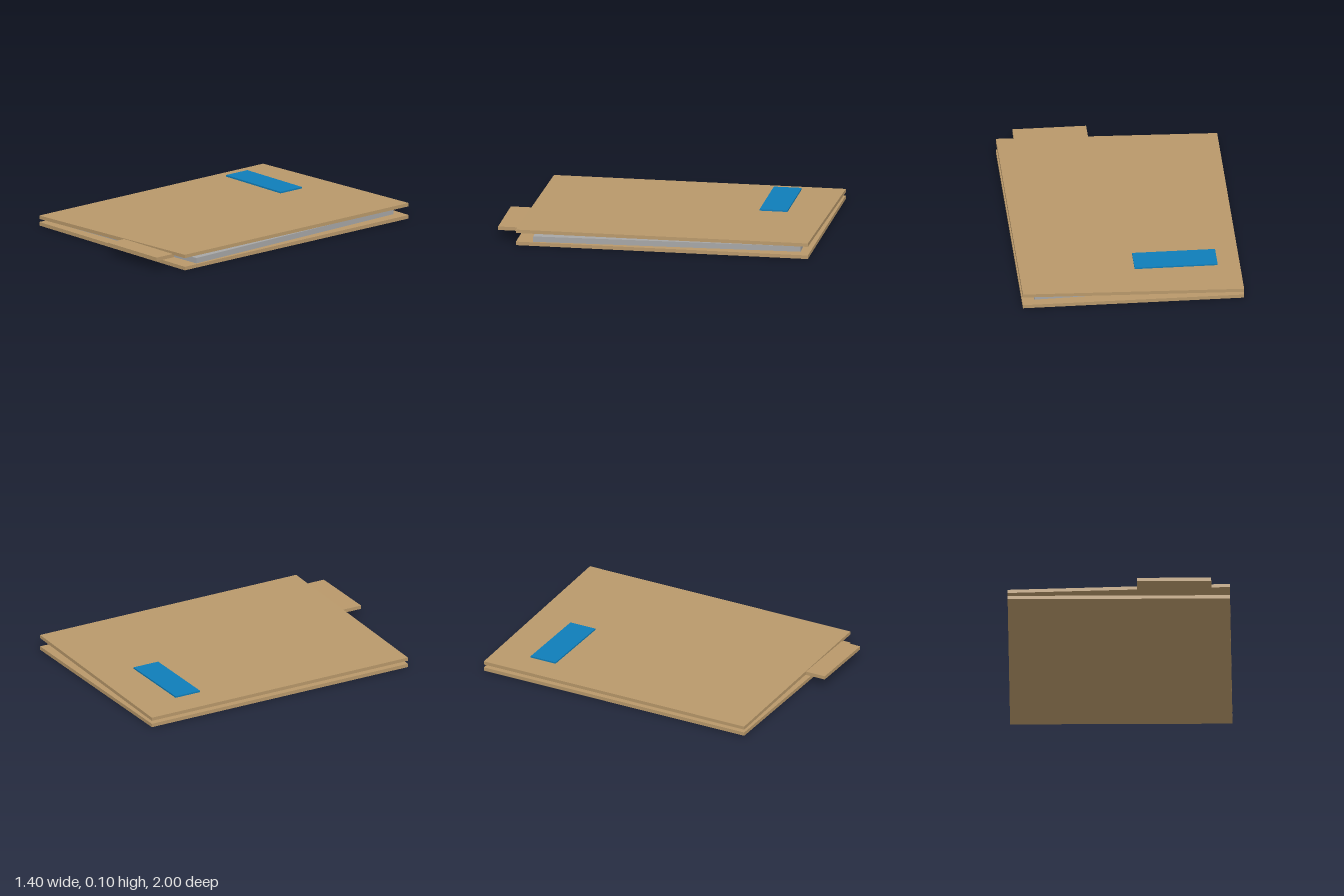
import * as THREE from 'three';

const material = (name, color) => {
  const m = new THREE.MeshStandardMaterial({ color });
  m.name = name;
  return m;
};

export function createModel() {
  const model = new THREE.Group();
  model.name = 'folder';
  const card = material('manila card', 0xb8986a);
  const paper = material('grey paper', 0xa6a6a6);
  const blue = material('blue label', 0x0f7db8);

  // Box given by its size and centre
  const slab = (name, mat, size, centre) => {
    const mesh = new THREE.Mesh(new THREE.BoxGeometry(...size), mat);
    mesh.name = name;
    mesh.position.set(...centre);
    model.add(mesh);
    return mesh;
  };

  // Covers, the upper one lifted along its right edge
  slab('backCover', card, [1.4, 0.023, 1.866], [0, 0.0115, -0.067]);
  const front = slab('frontCover', card, [1.4, 0.022, 1.866], [0, 0.0725, -0.067]);
  front.rotation.z = 0.026;

  // Paper stack, slightly askew between the covers
  const stack = slab('paperStack', paper, [1.22, 0.035, 1.7], [0.044, 0.0405, -0.069]);
  stack.rotation.y = 0.037;

  // Index tab at the front edge
  slab('indexTab', card, [0.467, 0.023, 0.145], [0.35, 0.0715, 0.9275]);

  // Label floating just above the cover
  slab('label', blue, [0.525, 0.01, 0.178], [-0.293, 0.095, -0.654]);

  return model;
}
